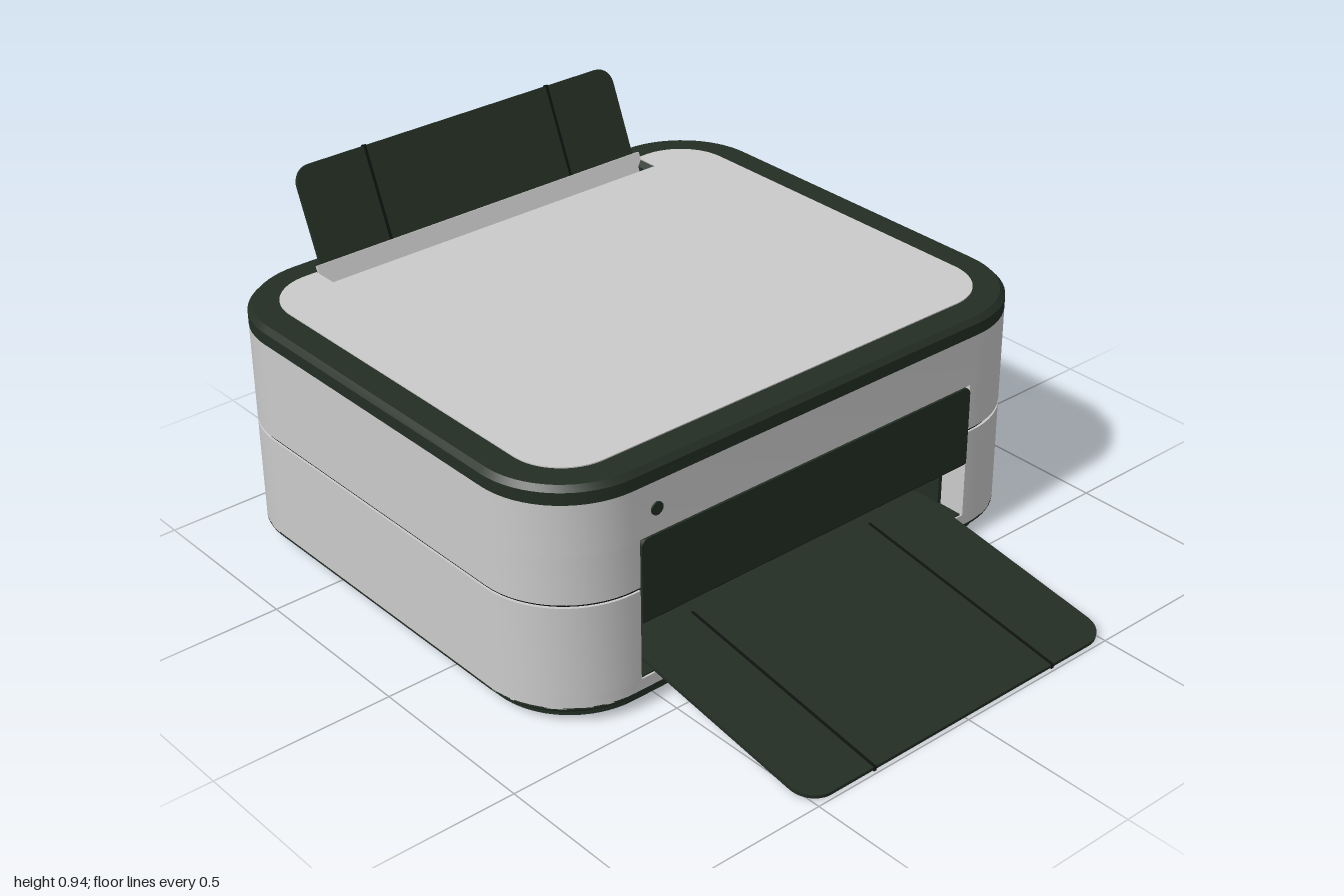
import * as THREE from 'three';
import { toCreasedNormals } from 'three/addons/utils/BufferGeometryUtils.js';

const mat = (name, color, side = THREE.FrontSide) => {
  const m = new THREE.MeshStandardMaterial({ color, side });
  m.name = name;
  return m;
};

export function createModel() {
  const printer = new THREE.Group();
  printer.name = 'printer';
  const shell = mat('light grey shell', 0xcacaca);
  const dark = mat('dark green plastic', 0x232e24);
  const black = mat('black seam', 0x0e120f);

  const add = (name, geo, material, parent = printer) => {
    const mesh = new THREE.Mesh(geo, material);
    mesh.name = name;
    parent.add(mesh);
    return mesh;
  };
  const box = (name, material, x0, x1, y0, y1, z0, z1, parent) => {
    const g = new THREE.BoxGeometry(x1 - x0, y1 - y0, z1 - z0);
    g.translate((x0 + x1) / 2, (y0 + y1) / 2, (z0 + z1) / 2);
    return add(name, g, material, parent);
  };

  // Footprint seen from above (shape y = -z), with optional notches [half width, depth]
  const outline = (hw, z0, z1, r, front, back) => {
    const s = new THREE.Shape();
    const lo = -z1, hi = -z0;
    s.moveTo(-hw + r, lo);
    if (front) {
      const [w, d] = front;
      s.lineTo(-w, lo); s.lineTo(-w, lo + d); s.lineTo(w, lo + d); s.lineTo(w, lo);
    }
    s.lineTo(hw - r, lo);
    s.absarc(hw - r, lo + r, r, -Math.PI / 2, 0);
    s.lineTo(hw, hi - r);
    s.absarc(hw - r, hi - r, r, 0, Math.PI / 2);
    if (back) {
      const [w, d] = back;
      s.lineTo(w, hi); s.lineTo(w, hi - d); s.lineTo(-w, hi - d); s.lineTo(-w, hi);
    }
    s.lineTo(-hw + r, hi);
    s.absarc(-hw + r, hi - r, r, Math.PI / 2, Math.PI);
    s.lineTo(-hw, lo + r);
    s.absarc(-hw + r, lo + r, r, Math.PI, Math.PI * 1.5);
    return s;
  };
  // Extrude a footprint upward from y0 to y1, with chamfer b
  const slab = (name, material, shape, y0, y1, b = 0) => {
    const g = new THREE.ExtrudeGeometry(shape, {
      depth: y1 - y0 - 2 * b, curveSegments: 8,
      bevelEnabled: b > 0, bevelSize: b, bevelOffset: -b, bevelThickness: b, bevelSegments: 1,
    });
    g.rotateX(-Math.PI / 2);
    g.translate(0, y0 + b, 0);
    return add(name, toCreasedNormals(g, 0.6), material);
  };

  const W = 0.83, ZB = -0.975, ZF = 0.44, R = 0.25;
  const bay = [0.56, 0.25];
  const body = (front) => outline(W, ZB, ZF, R, front);
  const slot = () => {
    const p = new THREE.Path();
    p.moveTo(-0.54, 0.825); p.lineTo(-0.54, 0.885); p.lineTo(0.54, 0.885); p.lineTo(0.54, 0.825);
    p.closePath();
    return p;
  };
  const withSlot = (s) => { s.holes.push(slot()); return s; };

  // Base and main case, stacked in layers around the paper bay
  slab('base', dark, outline(0.795, -0.945, 0.41, 0.23), 0.01, 0.05);
  slab('bottomTrim', dark, body(), 0.04, 0.07, 0.012);
  slab('lowerSill', shell, body(), 0.055, 0.09);
  slab('lowerCase', shell, body(bay), 0.09, 0.347);
  slab('caseSeam', black, outline(W - 0.006, ZB + 0.006, ZF - 0.006, R, [0.56, 0.244]), 0.347, 0.356);
  slab('middleCase', shell, body(bay), 0.356, 0.49);
  slab('upperCase', shell, body(), 0.49, 0.632);

  // Dark rim and lid, both cut by the rear paper slot
  slab('rimBand', dark, withSlot(body()), 0.632, 0.663);
  slab('rimTop', dark, withSlot(body()), 0.645, 0.68, 0.014);
  slab('lid', shell, outline(0.74, -0.89, 0.35, 0.15, null, [0.555, 0.078]), 0.676, 0.683);
  box('slotFloor', dark, -0.55, 0.55, 0.63, 0.636, -0.9, -0.81);

  // Paper bay lining, door and indicator
  box('bayBack', dark, -0.56, 0.56, 0.09, 0.49, 0.185, 0.2);
  box('bayFloor', dark, -0.555, 0.555, 0.086, 0.094, 0.19, 0.435);
  for (const s of [-1, 1]) box('bayWall', dark, s * 0.555 - 0.007, s * 0.555 + 0.007, 0.09, 0.49, 0.19, 0.36);
  box('bayRoller', dark, -0.55, 0.55, 0.27, 0.48, 0.2, 0.4);

  const doorShape = new THREE.Shape();
  const dw = 0.558, d0 = 0.255, d1 = 0.488, dr = 0.022;
  doorShape.moveTo(-dw, d0);
  doorShape.lineTo(dw, d0);
  doorShape.lineTo(dw, d1 - dr);
  doorShape.absarc(dw - dr, d1 - dr, dr, 0, Math.PI / 2);
  doorShape.lineTo(-dw + dr, d1);
  doorShape.absarc(-dw + dr, d1 - dr, dr, Math.PI / 2, Math.PI);
  const door = new THREE.ExtrudeGeometry(doorShape, { depth: 0.03, bevelEnabled: false, curveSegments: 5 });
  door.translate(0, 0, ZF - 0.026);
  add('frontDoor', door, dark);
  box('doorSeam', black, -0.555, 0.555, 0.252, 0.258, 0.42, 0.4425);

  const lamp = new THREE.CylinderGeometry(0.018, 0.018, 0.008, 20);
  lamp.rotateX(Math.PI / 2);
  lamp.translate(-0.508, 0.558, ZF);
  add('indicator', lamp, dark);

  // Sheet support: flat panel with two rounded far corners and two creases, hinged at its near edge
  const support = (name, hw, length, r, y, z, tilt) => {
    const group = new THREE.Group();
    group.name = name;
    const s = new THREE.Shape();
    s.moveTo(-hw, 0);
    s.lineTo(hw, 0);
    s.lineTo(hw, length - r);
    s.absarc(hw - r, length - r, r, 0, Math.PI / 2);
    s.lineTo(-hw + r, length);
    s.absarc(-hw + r, length - r, r, Math.PI / 2, Math.PI);
    const g = new THREE.ExtrudeGeometry(s, { depth: 0.01, bevelEnabled: false, curveSegments: 6 });
    g.translate(0, 0, -0.005);
    add(name + 'Panel', g, dark, group);
    for (const x of [-0.31, 0.31]) {
      box(name + 'Crease', black, x - 0.004, x + 0.004, 0, length + 0.003, -0.0065, 0.0065, group);
    }
    group.position.set(0, y, z);
    group.rotation.x = tilt;
    printer.add(group);
    return group;
  };
  support('outputTray', 0.52, 0.66, 0.07, 0.116, 0.338, Math.PI / 2 + 0.155);
  support('rearSupport', 0.538, 0.318, 0.05, 0.645, -0.876, -0.39);

  // Light hinge plate inside the rear slot, leaning back with the support
  const hinge = new THREE.Group();
  hinge.name = 'rearHinge';
  box('hingePlate', shell, -0.555, 0.555, 0, 0.072, -0.003, 0.006, hinge);
  hinge.position.set(0, 0.634, -0.862);
  hinge.rotation.x = -0.39;
  printer.add(hinge);

  return printer;
}
